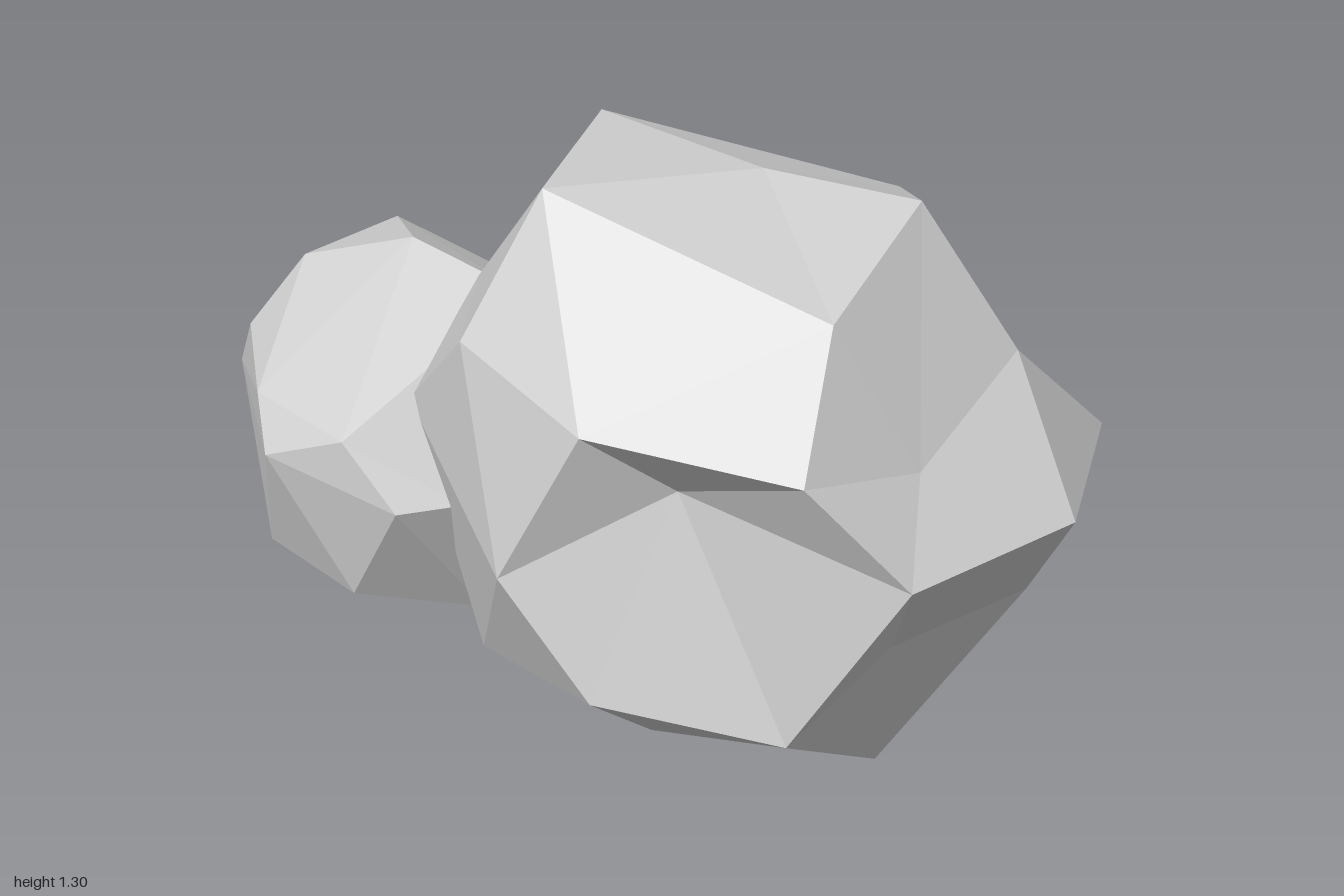
import * as THREE from 'three';
import { ConvexGeometry } from 'three/addons/geometries/ConvexGeometry.js';

const material = new THREE.MeshStandardMaterial({ color: 0xcccccc, flatShading: true });
const RADIUS = 0.767;

// Chipped corners of the large stone: elevation, azimuth of the corner, then its new place.
// Corners off the centre plane are mirrored in z.
const chips = [
  [90, 0, 0, 0.63, 0],
  [58.28, 0, 0.34, 0.59, 0],
  [58.28, 72, 0.23, 0.46, 0.38],
  [58.28, 144, -0.42, 0.635, 0.237],
  [26.57, 0, 0.56, 0.27, 0],
  [26.57, 72, 0.23, 0.22, 0.645],
  [31.72, 36, 0.42, 0.15, 0.38],
  [31.72, 108, -0.24, 0.26, 0.615],
  [31.72, 180, -0.64, 0.31, 0],
  [0, 126, -0.42, -0.09, 0.615],
  [0, 162, -0.73, 0.11, 0.237],
  [-31.72, 0, 0.61, -0.31, 0],
  [-58.28, 108, -0.15, -0.57, 0.37],
  [-90, 0, -0.06, -0.665, 0],
];
// Single corners: the dents in front and on the side, and the bulge behind
const singles = [
  [0, 90, -0.06, 0.11, 0.51],
  [0, -90, -0.05, 0.105, -0.765],
  [-26.57, 36, 0.38, -0.26, 0.4],
  [-26.57, -36, 0.41, -0.19, -0.41],
];

function direction(elevation, azimuth) {
  const e = THREE.MathUtils.degToRad(elevation);
  const a = THREE.MathUtils.degToRad(azimuth);
  return new THREE.Vector3(Math.cos(e) * Math.cos(a), Math.sin(e), Math.cos(e) * Math.sin(a));
}

function largeStoneGeometry() {
  const mirrored = chips.map(([e, a, x, y, z]) => [e, -a, x, y, -z]);
  const moves = [...chips, ...mirrored, ...singles].map(([e, a, x, y, z]) => ({
    from: direction(e, a),
    to: new THREE.Vector3(x, y, z),
  }));

  // Icosphere with a corner at the top
  const geometry = new THREE.IcosahedronGeometry(RADIUS, 1);
  geometry.rotateZ(Math.atan(2 / (1 + Math.sqrt(5))));
  geometry.rotateY(Math.PI);

  const position = geometry.attributes.position;
  const v = new THREE.Vector3();
  for (let i = 0; i < position.count; i++) {
    v.fromBufferAttribute(position, i);
    const move = moves.find((m) => m.from.dot(v) > 0.99 * RADIUS);
    if (move) position.setXYZ(i, move.to.x, move.to.y, move.to.z);
  }
  geometry.computeVertexNormals();
  return geometry;
}

// Corners of the small stone, wrapped in a hull
const smallCorners = [
  // top
  [-0.8, 0.96, 0], [-0.54, 1.03, 0], [-0.66, 0.97, -0.24], [-0.38, 0.83, -0.28],
  [-0.28, 0.95, 0.05], [-0.36, 0.9, 0.12],
  // outer side
  [-0.91, 0.81, 0.08], [-1, 0.64, -0.07], [-0.89, 0.35, 0.08], [-0.85, 0.82, -0.2],
  // front
  [-0.8, 0.77, 0.33], [-0.75, 0.67, 0.43], [-0.56, 0.74, 0.46], [-0.43, 0.6, 0.5],
  [-0.56, 0.35, 0.43], [-0.8, 0.385, 0.3], [-0.3, 0.6, 0.42], [-0.3, 0.28, 0.3],
  // back
  [-0.83, 0.66, -0.33], [-0.53, 0.6, -0.43], [-0.28, 0.67, -0.4], [-0.65, 0.79, -0.37],
  [-0.68, 0.5, -0.39], [-0.92, 0.5, -0.19], [-0.42, 0.44, -0.41],
  [-0.8, 0.37, -0.27], [-0.55, 0.3, -0.36], [-0.33, 0.32, -0.34],
  // underside
  [-0.7, 0.2, 0.05], [-0.57, 0.115, -0.02], [-0.62, 0.18, -0.2], [-0.28, 0.19, 0.1],
  [-0.3, 0.18, -0.1],
];

export function createModel() {
  const group = new THREE.Group();
  group.name = 'stones';

  const large = new THREE.Mesh(largeStoneGeometry(), material);
  large.name = 'largeStone';
  large.position.set(0.27, 0.67, 0.06);

  const small = new THREE.Mesh(
    new ConvexGeometry(smallCorners.map((p) => new THREE.Vector3(...p))),
    material,
  );
  small.name = 'smallStone';

  group.add(large, small);
  return group;
}
